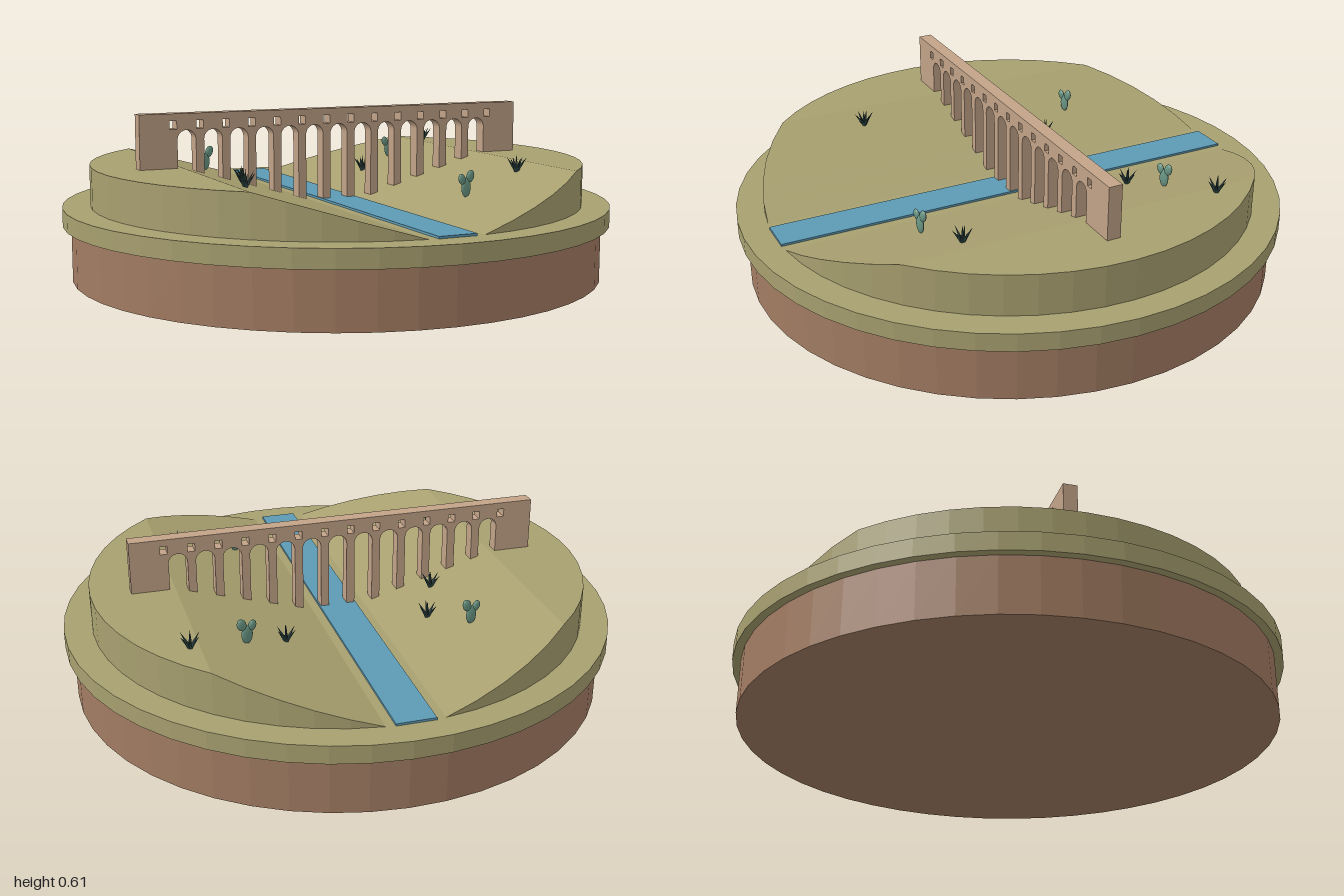
import * as THREE from 'three';

const mat = (name, color, side = THREE.FrontSide) => {
  const m = new THREE.MeshStandardMaterial({ color, side });
  m.name = name;
  return m;
};

const GROUND = 0.265, TOP = 0.413, HILL_R = 0.9;   // heights and hill radius
const BANK_IN = 0.1, BANK_OUT = 0.6;               // valley floor and rim, from the river axis
const YAW = -THREE.MathUtils.degToRad(20);         // river and bridge turn together

// Ground height at a distance across the valley
const heightAt = (x) => THREE.MathUtils.mapLinear(
  THREE.MathUtils.clamp(Math.abs(x), BANK_IN, BANK_OUT), BANK_IN, BANK_OUT, GROUND, TOP);

// One bank: strips across a disc, sloping from the valley floor to the plateau
function bankGeometry() {
  const a0 = Math.acos(BANK_IN / HILL_R), a1 = Math.acos(BANK_OUT / HILL_R);
  const angles = [];
  for (let i = 0; i < 5; i++) angles.push(THREE.MathUtils.lerp(a0, a1, i / 5));
  for (let i = 0; i <= 7; i++) angles.push(a1 * (1 - i / 7));
  const pos = [];
  const quad = (a, b, c, d) => pos.push(...a, ...b, ...c, ...a, ...c, ...d);
  for (let i = 0; i < angles.length - 1; i++) {
    const [p, q] = [angles[i], angles[i + 1]].map((t) => {
      const x = HILL_R * Math.cos(t), z = HILL_R * Math.sin(t), y = heightAt(x);
      return { tf: [x, y, z], tb: [x, y, -z], bf: [x, GROUND, z], bb: [x, GROUND, -z] };
    });
    quad(p.tf, q.tf, q.tb, p.tb);
    quad(p.bf, q.bf, q.tf, p.tf);
    quad(q.bb, p.bb, p.tb, q.tb);
  }
  const g = new THREE.BufferGeometry();
  g.setAttribute('position', new THREE.Float32BufferAttribute(pos, 3));
  g.computeVertexNormals();
  return g;
}

// Arcade wall: piers reach the ground, arches between, small square opening over each pier
function aqueductGeometry() {
  const half = 0.757, top = 0.605, depth = 0.05;
  const spans = 13, first = 0.635, pitch = (2 * first) / spans;
  const pier = 0.03, r = (pitch - pier) / 2, spring = 0.513;
  const shape = new THREE.Shape();
  shape.moveTo(-half, TOP - 0.01);
  let edge = -first + pier / 2;
  shape.lineTo(edge, heightAt(edge) - 0.01);
  for (let i = 0; i < spans; i++) {
    const c = -first + (i + 0.5) * pitch;
    shape.lineTo(c - r, spring);
    shape.absarc(c, spring, r, Math.PI, 0, true);
    shape.lineTo(c + r, heightAt(c + r) - 0.015);
    if (i < spans - 1) shape.lineTo(c + r + pier, heightAt(c + r + pier) - 0.015);
  }
  shape.lineTo(half, TOP - 0.01);
  shape.lineTo(half, top);
  shape.lineTo(-half, top);
  shape.closePath();
  for (let i = 0; i <= spans; i++) {
    const x = -first + i * pitch, w = 0.013;
    const hole = new THREE.Path();
    hole.moveTo(x - w, 0.55);
    hole.lineTo(x - w, 0.58);
    hole.lineTo(x + w, 0.58);
    hole.lineTo(x + w, 0.55);
    hole.closePath();
    shape.holes.push(hole);
  }
  return new THREE.ExtrudeGeometry(shape, { depth, bevelEnabled: false, curveSegments: 10 })
    .translate(0, 0, -depth / 2);
}

export function createModel() {
  const model = new THREE.Group();
  model.name = 'valleyDiorama';
  const earth = mat('earth brown', 0xa27c62);
  const grass = mat('dry grass', 0xa8a070);
  const stone = mat('sandstone', 0xc2a388);
  const water = mat('river blue', 0x5c9ab4);
  const agaveGreen = mat('dark agave green', 0x2f4a48);
  const cactusGreen = mat('cactus green', 0x6a9684);

  const add = (name, geometry, material, parent = model) => {
    const m = new THREE.Mesh(geometry, material);
    m.name = name;
    parent.add(m);
    return m;
  };
  const disc = (r, y0, y1) => {
    const g = new THREE.CylinderGeometry(r, r, y1 - y0, 48).toNonIndexed();
    g.computeVertexNormals();
    return g.translate(0, (y0 + y1) / 2, 0);
  };

  // Round base
  add('earthBase', disc(0.97, 0, 0.2), earth);
  add('grassDisc', disc(1, 0.2, GROUND), grass);

  // Valley, river and aqueduct share one turned frame
  const valley = new THREE.Group();
  valley.name = 'valley';
  valley.rotation.y = YAW;
  model.add(valley);
  const bank = bankGeometry();
  add('leftBank', bank, grass, valley);
  add('rightBank', bank, grass, valley).rotation.y = Math.PI;
  add('river', new THREE.BoxGeometry(0.137, 0.008, 1.8), water, valley).position.y = GROUND + 0.004;
  add('aqueduct', aqueductGeometry(), stone, valley);

  // Places a plant group on the ground
  const plant = (name, x, z) => {
    const g = new THREE.Group();
    g.name = name;
    g.position.set(x, heightAt(x * Math.cos(YAW) - z * Math.sin(YAW)), z);
    model.add(g);
    return g;
  };

  // Agaves: a ring of spikes round an upright one
  const leaf = new THREE.ConeGeometry(0.008, 0.062, 5).translate(0, 0.03, 0);
  const agaves = [[-0.14, -0.36], [-0.28, -0.21], [-0.6, 0.18], [0.34, 0.575], [0.38, -0.23], [0.76, -0.24]];
  for (const [x, z] of agaves) {
    const g = plant('agave', x, z);
    add('agaveLeaf', leaf, agaveGreen, g);
    for (let i = 0; i < 6; i++) {
      const m = add('agaveLeaf', leaf, agaveGreen, g);
      m.rotation.set(0, (i / 6) * Math.PI * 2, -0.62, 'YXZ');
    }
  }

  // Cacti: three flat pads
  const pad = new THREE.SphereGeometry(1, 12, 8);
  const pads = [[0, 0.032, 0.021, 0.034], [0.019, 0.07, 0.017, 0.023], [-0.019, 0.062, 0.015, 0.02]];
  for (const [x, z] of [[-0.19, -0.535], [0.54, -0.235], [0.1, 0.54]]) {
    const g = plant('cactus', x, z);
    g.rotation.y = -0.15;
    for (const [px, py, rx, ry] of pads) {
      const m = add('cactusPad', pad, cactusGreen, g);
      m.position.set(px, py, 0);
      m.scale.set(rx, ry, 0.008);
      m.rotation.z = -px * 18;
    }
  }
  return model;
}
